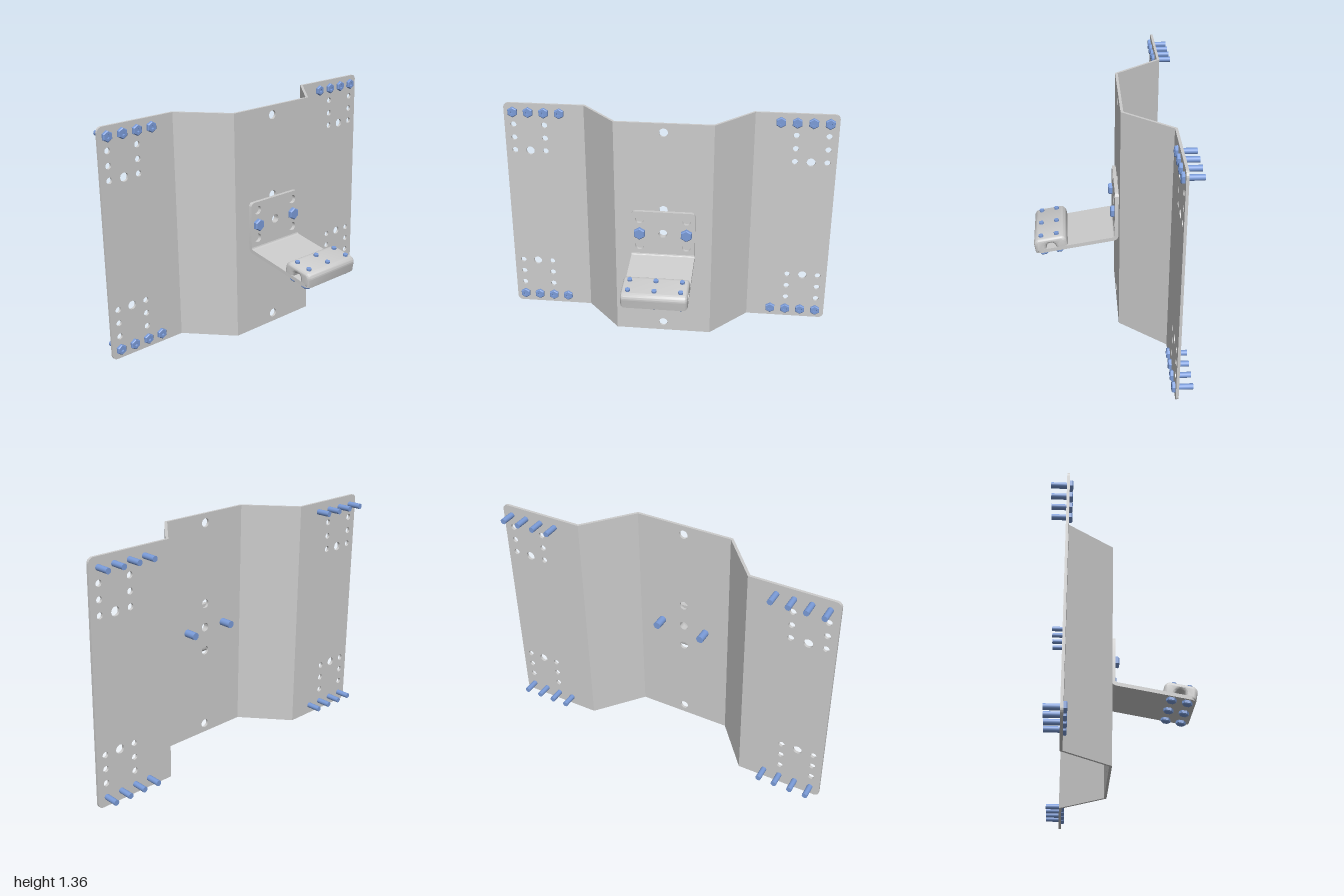
import * as THREE from 'three';
import { toCreasedNormals } from 'three/addons/utils/BufferGeometryUtils.js';

const grey = new THREE.MeshStandardMaterial({ color: 0xcccccc });
const blue = new THREE.MeshStandardMaterial({ color: 0x7a9bd8 });
const blueFlat = new THREE.MeshStandardMaterial({ color: 0x7a9bd8, flatShading: true });

const HEIGHT = 1.36, MID = HEIGHT / 2, SHEET = 0.015, GAUGE = 0.022;

function mesh(name, geometry, material = grey) {
  const m = new THREE.Mesh(geometry, material);
  m.name = name;
  return m;
}

// Rectangle with individual corner radii (bl, br, tr, tl) and round holes [x, y, r]
function sheet(x0, x1, y0, y1, [bl, br, tr, tl], holes, depth) {
  const s = new THREE.Shape();
  const h = Math.PI / 2;
  const corner = (x, y, r, a) => r ? s.absarc(x, y, r, a, a + h, false) : s.lineTo(x, y);
  s.moveTo(x0 + bl, y0);
  corner(x1 - br, y0 + br, br, -h);
  corner(x1 - tr, y1 - tr, tr, 0);
  corner(x0 + tl, y1 - tl, tl, h);
  corner(x0 + bl, y0 + bl, bl, 2 * h);
  for (const [x, y, r] of holes) s.holes.push(new THREE.Path().absarc(x, y, r, 0, Math.PI * 2, true));
  const g = new THREE.ExtrudeGeometry(s, { depth, bevelEnabled: false, curveSegments: 10 });
  return toCreasedNormals(g, 0.7);
}

// Bolt along y: chamfered hex head above y = 0, shank below; optional socket
function bolt(name, headR, headH, shankR, shankL, socketR = 0) {
  const g = new THREE.Group();
  g.name = name;
  const p = [[0, 0], [headR, 0], [headR, headH * 0.75], [headR * 0.84, headH]];
  if (socketR) p.push([socketR, headH], [socketR, headH * 0.3], [0, headH * 0.3]);
  else p.push([0, headH]);
  const head = new THREE.LatheGeometry(p.map(([x, y]) => new THREE.Vector2(x, y)), 6);
  const shank = new THREE.CylinderGeometry(shankR, shankR, shankL, 20).translate(0, -shankL / 2, 0);
  g.add(mesh('boltHead', head, blueFlat), mesh('boltShank', shank, blue));
  return g;
}

// Folded mounting plate
function backPlate() {
  const g = new THREE.Group();
  g.name = 'backPlate';
  const centreHoles = [0.055, 0.535, 0.68, 0.825, 1.305].map(y => [0, y, 0.026]);
  const centre = mesh('centrePanel', sheet(-0.283, 0.283, 0, HEIGHT, [0, 0, 0, 0], centreHoles, SHEET));
  centre.position.z = -0.08;
  g.add(centre);

  for (const side of [-1, 1]) {
    const holes = [];
    for (const v of [-1, 1]) {
      for (const x of [0.755, 0.945])
        for (const dy of [0.38, 0.462, 0.545]) holes.push([side * x, MID + v * dy, 0.018]);
      holes.push([side * 0.85, MID + v * 0.38, 0.026]);
    }
    const geo = side > 0
      ? sheet(0.51, 1, 0, HEIGHT, [0, 0.03, 0.03, 0], holes, SHEET)
      : sheet(-1, -0.51, 0, HEIGHT, [0.03, 0, 0, 0.03], holes, SHEET);
    const flange = mesh('flange', geo);
    flange.position.z = -0.343;
    g.add(flange);

    // Slanted web between centre panel and flange
    const outline = [[0.283, -0.065], [0.29, -0.065], [0.51, -0.328], [0.51, -0.343], [0.503, -0.343], [0.283, -0.08]];
    const web = new THREE.Shape(outline.map(([x, z]) => new THREE.Vector2(side * x, -z)));
    g.add(mesh('slantedWeb', new THREE.ExtrudeGeometry(web, { depth: HEIGHT, bevelEnabled: false }).rotateX(-Math.PI / 2)));

    // Rows of corner bolts
    for (const v of [-1, 1])
      for (const x of [0.66, 0.755, 0.85, 0.945]) {
        const b = bolt('cornerBolt', 0.032, 0.018, 0.016, 0.097, 0.012);
        b.rotation.x = Math.PI / 2;
        b.position.set(side * x, MID + v * 0.625, -0.328);
        g.add(b);
      }
  }
  return g;
}

// Bent bracket carrying the clamp
function bracket() {
  const g = new THREE.Group();
  g.name = 'bracket';
  const W = 0.19, bendY = 0.545, bendZ = -0.031, tilt = THREE.MathUtils.degToRad(10);

  const holes = [[0, MID, 0.026]];
  for (const x of [-0.14, 0.14]) for (const y of [0.595, 0.768]) holes.push([x, y, 0.026]);
  const upright = mesh('upright', sheet(-W, W, bendY, 0.818, [0, 0, 0.025, 0.025], holes, GAUGE));
  upright.position.z = -0.065;
  g.add(upright);

  // Rounded bend from upright to arm
  const s = new THREE.Shape();
  s.absarc(0, 0, 0.034, Math.PI, Math.PI * 1.5 - tilt, false);
  s.absarc(0, 0, 0.012, Math.PI * 1.5 - tilt, Math.PI, true);
  const bendGeo = new THREE.ExtrudeGeometry(s, { depth: 2 * W, bevelEnabled: false, curveSegments: 12 })
    .translate(0, 0, -W).rotateY(-Math.PI / 2);
  const bend = mesh('bend', toCreasedNormals(bendGeo, 0.7));
  bend.position.set(0, bendY, bendZ);
  g.add(bend);

  for (const x of [-0.14, 0.14]) {
    const b = bolt('bracketBolt', 0.037, 0.024, 0.022, 0.11);
    b.rotation.x = Math.PI / 2;
    b.position.set(x, MID, -0.043);
    g.add(b);
  }

  // Sloping arm; its own z runs along the arm
  const arm = new THREE.Group();
  arm.name = 'arm';
  arm.position.set(0, bendY, bendZ);
  arm.rotation.x = tilt;
  const armGeo = sheet(-W, W, 0, 0.458, [0, 0, 0.035, 0.035], [], GAUGE).rotateX(Math.PI / 2).translate(0, -0.012, 0);
  arm.add(mesh('armPlate', armGeo));
  arm.add(clamp(W));
  for (const x of [-0.15, 0, 0.15])
    for (const u of [0.32, 0.411]) {
      const b = bolt('clampBolt', 0.03, 0.022, 0.014, 0.1);
      b.rotation.x = Math.PI;
      b.position.set(x, -0.034, u);
      arm.add(b);
    }
  g.add(arm);
  return g;
}

// Pillow-shaped clamp with an arched channel running sideways
function clamp(W) {
  const u0 = 0.266, u1 = 0.459, low = -0.032, top = 0.054, r = 0.035, mid = 0.363, arch = 0.027, bevel = 0.02;
  const s = new THREE.Shape();
  s.moveTo(u0, low);
  s.lineTo(mid - arch, low);
  s.lineTo(mid - arch, -0.009);
  s.absarc(mid, -0.009, arch, Math.PI, 0, true);
  s.lineTo(mid + arch, low);
  s.lineTo(u1, low);
  s.absarc(u1 - r, top - r, r, 0, Math.PI / 2, false);
  s.absarc(u0 + r, top - r, r, Math.PI / 2, Math.PI, false);
  const depth = 2 * (W - bevel);
  const geo = new THREE.ExtrudeGeometry(s, {
    depth, bevelThickness: bevel, bevelSize: bevel, bevelOffset: -bevel, bevelSegments: 6, curveSegments: 12,
  }).translate(0, 0, -depth / 2).rotateY(-Math.PI / 2);
  return mesh('clamp', toCreasedNormals(geo, 0.7));
}

export function createModel() {
  const model = new THREE.Group();
  model.name = 'wallMountBracket';
  model.add(backPlate(), bracket());
  return model;
}
